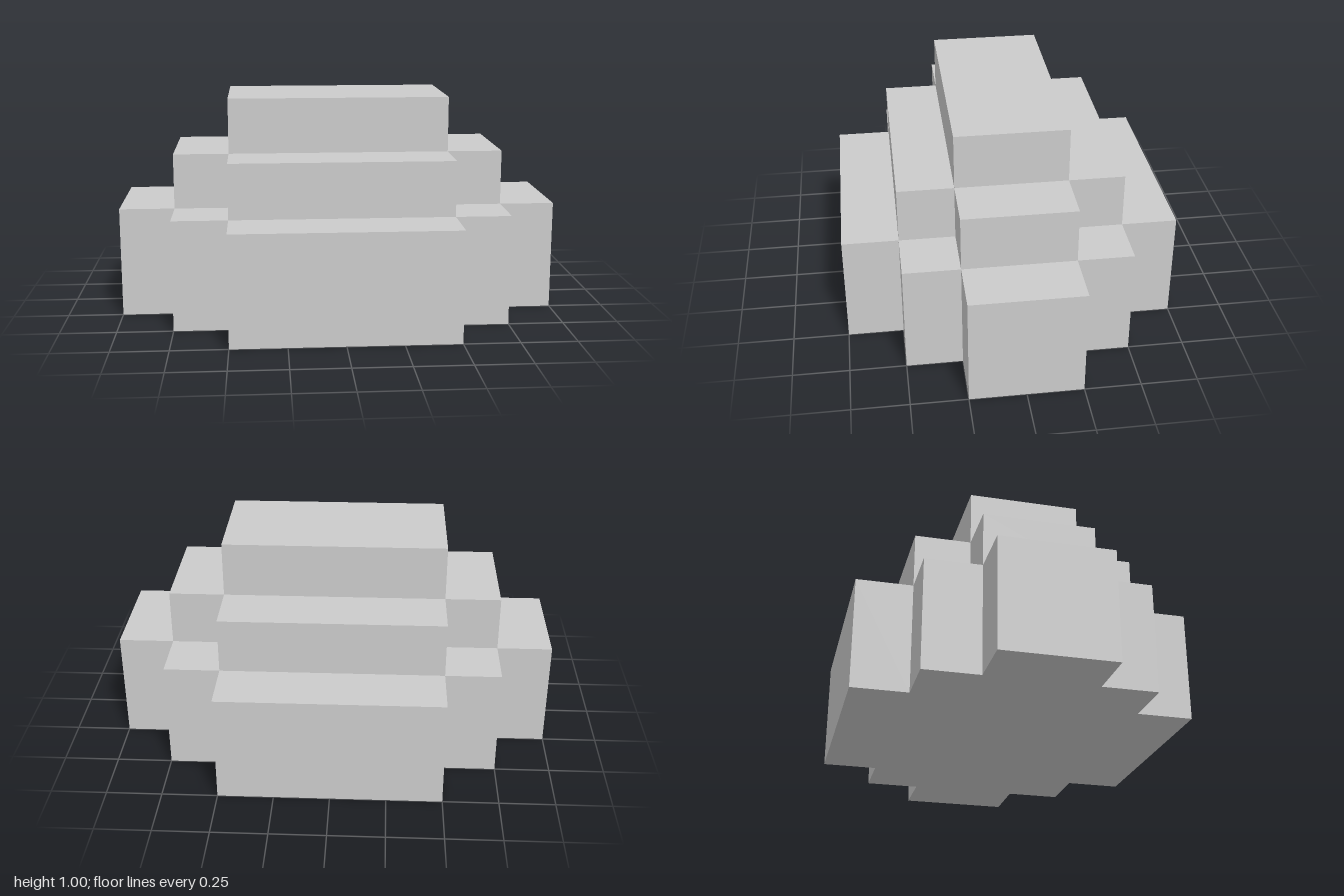
import * as THREE from 'three';

const STEP = 0.25;

// Stepped outline with n steps per quadrant; n = 1 is a plain rectangle
function steppedOutline(n) {
  const quarter = [];
  for (let i = 0; i < n; i++) {
    const x = 0.5 + STEP * (n - 1 - i);
    const y = STEP * (i + 1);
    if (i > 0) quarter.push([x, y - STEP]); // inner corner
    quarter.push([x, y]); // outer corner
  }
  const mirrored = (sx, sy) => quarter.map(([x, y]) => new THREE.Vector2(x * sx, y * sy));
  return new THREE.Shape([
    ...mirrored(1, 1),
    ...mirrored(-1, 1).reverse(),
    ...mirrored(-1, -1),
    ...mirrored(1, -1).reverse(),
  ]);
}

export function createModel() {
  const model = new THREE.Group();
  model.name = 'steppedBlock';
  const material = new THREE.MeshStandardMaterial({ color: 0xcccccc, flatShading: true });

  // Each tier stands on the one below and has one step fewer
  const tiers = [
    { name: 'baseTier', steps: 3, bottom: 0, height: 0.5 },
    { name: 'middleTier', steps: 2, bottom: 0.5, height: 0.25 },
    { name: 'topTier', steps: 1, bottom: 0.75, height: 0.25 },
  ];
  for (const { name, steps, bottom, height } of tiers) {
    const geometry = new THREE.ExtrudeGeometry(steppedOutline(steps), {
      depth: height,
      bevelEnabled: false,
    });
    geometry.rotateX(-Math.PI / 2);
    const tier = new THREE.Mesh(geometry, material);
    tier.name = name;
    tier.position.y = bottom;
    model.add(tier);
  }
  return model;
}
